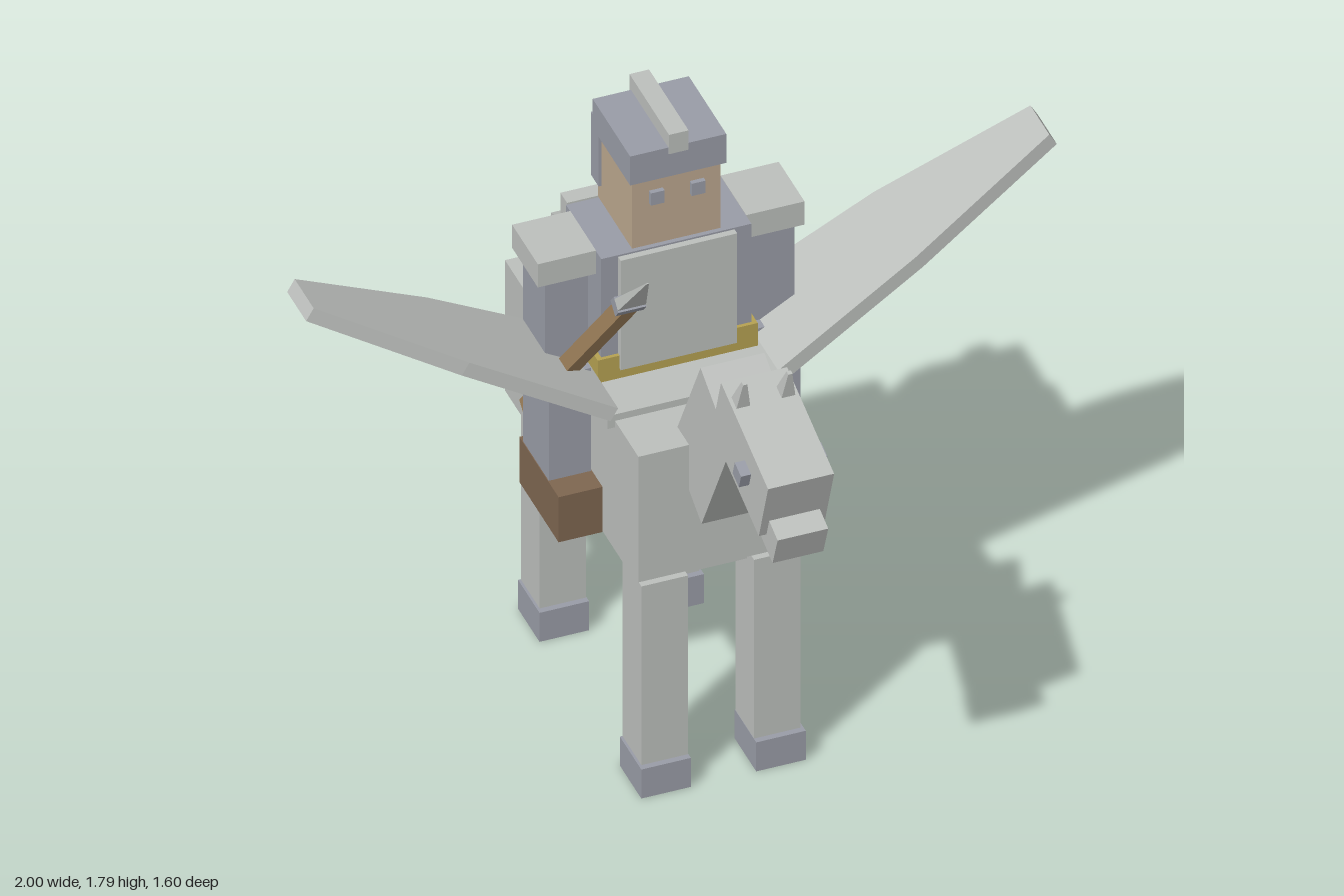
import * as THREE from 'three';

const mat = (name, color) => {
  const m = new THREE.MeshStandardMaterial({ color });
  m.name = name;
  return m;
};

export function createModel() {
  const silver = mat('silver', 0xbcbfbc);
  const steel = mat('blueSteel', 0x999ca6);
  const skin = mat('skin', 0xbba78e);
  const leather = mat('leather', 0x7e6650);
  const wood = mat('wood', 0xa5865f);
  const gold = mat('gold', 0xb5a152);

  const model = new THREE.Group();
  model.name = 'wingedHorseAndRider';
  const horse = new THREE.Group();
  horse.name = 'horse';
  const rider = new THREE.Group();
  rider.name = 'rider';
  const spear = new THREE.Group();
  spear.name = 'spear';
  model.add(horse, rider, spear);

  const put = (parent, name, geo, material, x, y, z, tilt = 0) => {
    const m = new THREE.Mesh(geo, material);
    m.name = name;
    m.position.set(x, y, z);
    m.rotation.x = tilt;
    parent.add(m);
    return m;
  };
  // Box given by its x, y and z ranges
  const span = (parent, name, material, [x0, x1], [y0, y1], [z0, z1]) =>
    put(parent, name, new THREE.BoxGeometry(x1 - x0, y1 - y0, z1 - z0), material,
      (x0 + x1) / 2, (y0 + y1) / 2, (z0 + z1) / 2);
  // Box centred on x = 0 and tilted about x
  const tilted = (parent, name, material, w, h, d, y, z, tilt) =>
    put(parent, name, new THREE.BoxGeometry(w, h, d), material, 0, y, z, tilt);

  // Horse body
  span(horse, 'chest', silver, [-0.22, 0.22], [0.66, 1.05], [-0.38, 0.244]);
  span(horse, 'belly', silver, [-0.205, 0.205], [0.617, 0.8], [-0.45, 0.197]);
  span(horse, 'rump', silver, [-0.233, 0.233], [0.645, 1.05], [-0.63, -0.367]);
  span(horse, 'saddleCloth', silver, [-0.24, 0.24], [1.03, 1.07], [-0.45, 0.085]);
  tilted(horse, 'tail', silver, 0.09, 0.353, 0.087, 0.88, -0.692, -0.385);

  // Neck, mane and head
  tilted(horse, 'neck', silver, 0.17, 0.42, 0.232, 1.104, 0.325, 0.49);
  tilted(horse, 'mane', silver, 0.055, 0.3, 0.03, 1.185, 0.262, 0.49);
  tilted(horse, 'horseHead', silver, 0.176, 0.2, 0.337, 1.254, 0.597, 0.32);
  tilted(horse, 'muzzle', silver, 0.135, 0.1, 0.1, 1.11, 0.737, 0.35);

  // Legs, hooves, ears, eyes and wings in mirrored pairs
  for (const s of [-1, 1]) {
    for (const [name, z] of [['front', 0.18], ['back', -0.512]]) {
      put(horse, name + 'Leg', new THREE.BoxGeometry(0.124, 0.56, 0.128), silver, s * 0.15, 0.365, z);
      put(horse, name + 'Hoof', new THREE.BoxGeometry(0.132, 0.09, 0.146), steel, s * 0.153, 0.045, z + 0.008);
    }
    const earGeo = new THREE.CylinderGeometry(0.008, 0.032, 0.105, 4).rotateY(Math.PI / 4).toNonIndexed();
    earGeo.computeVertexNormals();
    put(horse, 'ear', earGeo, silver, s * 0.06, 1.405, 0.54, 0.32);
    put(horse, 'horseEye', new THREE.BoxGeometry(0.03, 0.045, 0.045), steel, s * 0.1, 1.247, 0.645, 0.32);

    // Wing outline: distance from the root, then z
    const outline = [[0, 0.088], [0.44, 0.05], [0.885, -0.025], [0.885, -0.154], [0.44, -0.238], [0, -0.268]];
    const wingGeo = new THREE.ExtrudeGeometry(
      new THREE.Shape(outline.map(([l, z]) => new THREE.Vector2(s * l, -z))),
      { depth: 0.04, bevelEnabled: false });
    wingGeo.rotateX(-Math.PI / 2).translate(0, -0.02, 0);
    const wing = put(horse, 'wing', wingGeo, silver, s * 0.223, 1.072, 0);
    wing.rotation.z = s * Math.PI / 6;
  }

  // Rider torso
  span(rider, 'torso', steel, [-0.2, 0.2], [1.07, 1.445], [-0.3, -0.06]);
  span(rider, 'belt', gold, [-0.213, 0.213], [1.07, 1.14], [-0.318, -0.05]);
  span(rider, 'breastplate', silver, [-0.155, 0.155], [1.1, 1.44], [-0.1, -0.042]);
  span(rider, 'backPlate', silver, [-0.197, 0.197], [1.07, 1.45], [-0.345, -0.3]);

  // Rider head and helmet
  span(rider, 'head', skin, [-0.118, 0.118], [1.455, 1.67], [-0.29, -0.06]);
  span(rider, 'neckJoint', skin, [-0.07, 0.07], [1.43, 1.47], [-0.24, -0.11]);
  span(rider, 'helmet', steel, [-0.128, 0.128], [1.663, 1.753], [-0.302, -0.047]);
  span(rider, 'helmetNeckGuard', steel, [-0.126, 0.126], [1.505, 1.7], [-0.32, -0.267]);
  span(rider, 'helmetCrest', silver, [-0.026, 0.026], [1.735, 1.795], [-0.312, -0.043]);

  // Rider limbs and eyes in mirrored pairs
  for (const s of [-1, 1]) {
    const side = (name, material, x0, x1, y, z) =>
      span(rider, name, material, s > 0 ? [x0, x1] : [-x1, -x0], y, z);
    side('shoulderGuard', silver, 0.2, 0.355, [1.375, 1.447], [-0.27, -0.095]);
    side('arm', steel, 0.218, 0.332, [1.09, 1.38], [-0.255, -0.105]);
    side('leg', steel, 0.222, 0.335, [0.78, 1.105], [-0.247, -0.072]);
    side('boot', leather, 0.22, 0.337, [0.645, 0.785], [-0.267, 0]);
    side('eye', steel, 0.036, 0.073, [1.585, 1.623], [-0.065, -0.047]);
  }

  // Spear, built upright from its collar and then leaned forward
  spear.position.set(-0.278, 1.6, 0.325);
  spear.rotation.x = 0.705;
  put(spear, 'shaft', new THREE.BoxGeometry(0.042, 1.04, 0.042), wood, 0, -0.52, 0);
  put(spear, 'collar', new THREE.BoxGeometry(0.075, 0.035, 0.042), steel, 0, 0, 0);
  const tipGeo = new THREE.CylinderGeometry(0.004, 0.053, 0.185, 4).rotateY(Math.PI / 4).toNonIndexed();
  tipGeo.computeVertexNormals();
  const tip = put(spear, 'spearhead', tipGeo, silver, 0, 0.11, 0);
  tip.scale.z = 0.42;

  return model;
}
